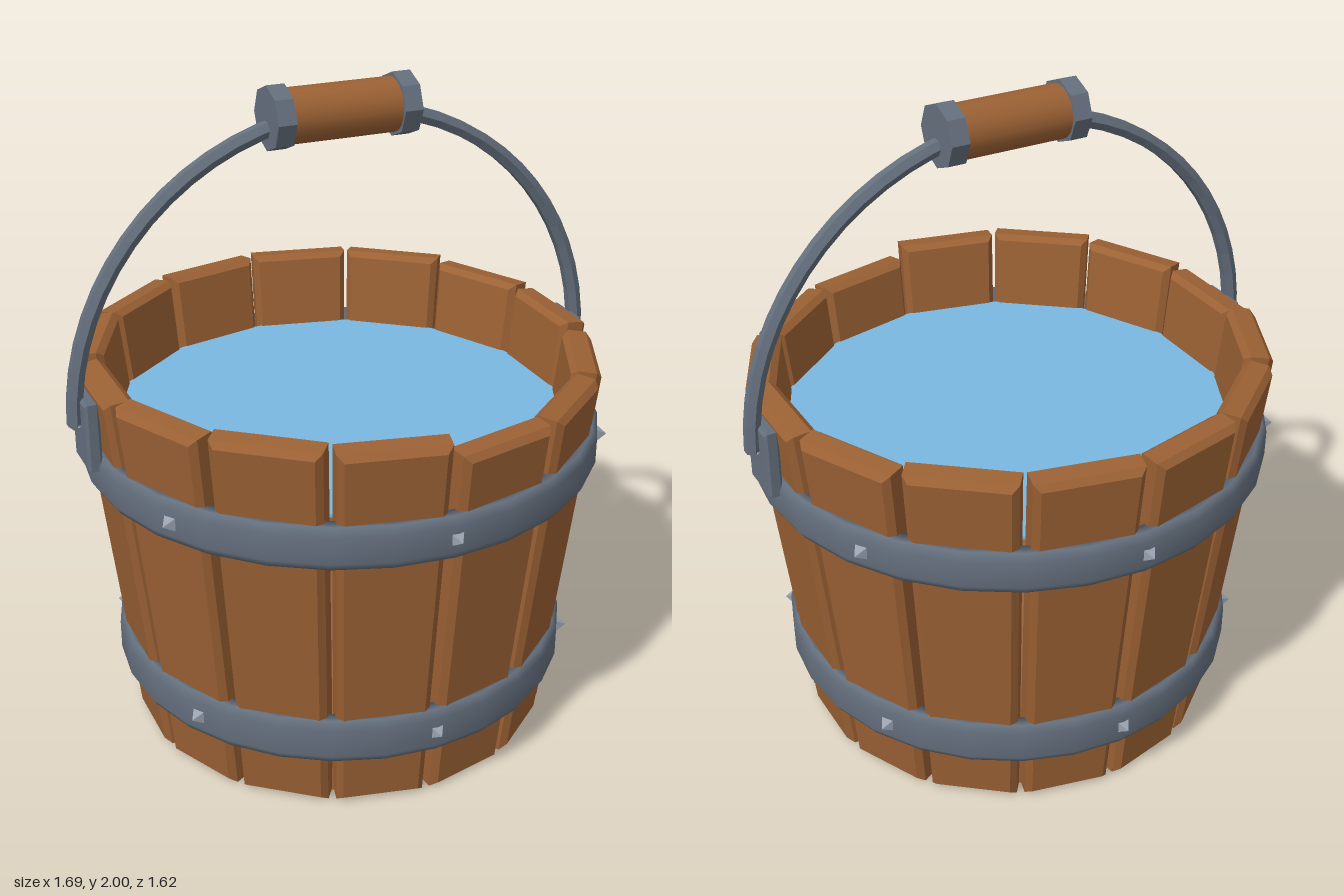
import * as THREE from 'three';

const mat = (name, color) => {
  const m = new THREE.MeshStandardMaterial({ color });
  m.name = name;
  return m;
};

// Faceted version of a geometry
const flat = (geometry) => {
  const g = geometry.index ? geometry.toNonIndexed() : geometry;
  g.computeVertexNormals();
  return g;
};

export function createModel() {
  const wood = mat('wood', 0x9b6134);
  const iron = mat('iron', 0x646f7d);
  const rivetMetal = mat('rivet metal', 0x98a2ae);
  const water = mat('water', 0x7ab8e2);

  const bucket = new THREE.Group();
  bucket.name = 'bucket';
  const add = (name, geometry, material, parent = bucket) => {
    const mesh = new THREE.Mesh(geometry, material);
    mesh.name = name;
    parent.add(mesh);
    return mesh;
  };

  // Staves: tapered, chamfered boards leaning outwards, with uneven tops
  const TILT = 0.112, THICK = 0.09, BEVEL = 0.018, BASE_R = 0.64;
  const heights = [1.2, 1.18, 1.175, 1.175, 1.22, 1.225, 1.215,
    1.205, 1.22, 1.215, 1.22, 1.225, 1.225, 1.21];
  const staves = new THREE.Group();
  staves.name = 'staves';
  bucket.add(staves);
  heights.forEach((h, i) => {
    const b = 0.13, t = 0.156;
    const shape = new THREE.Shape([
      new THREE.Vector2(-b, 0), new THREE.Vector2(b, 0),
      new THREE.Vector2(t, h), new THREE.Vector2(-t, h),
    ]);
    const g = new THREE.ExtrudeGeometry(shape, {
      depth: THICK - 2 * BEVEL, bevelThickness: BEVEL, bevelSize: BEVEL,
      bevelOffset: -BEVEL, bevelSegments: 1,
    });
    g.translate(0, 0, BEVEL - THICK).rotateX(TILT).translate(0, 0.001, BASE_R);
    add('stave', g, wood, staves).rotation.y = Math.PI / 2 - (i * Math.PI * 2) / heights.length;
  });

  // Base board and water surface
  add('base', new THREE.CylinderGeometry(0.6, 0.6, 0.118, 28), wood).position.y = 0.067;
  add('waterSurface', new THREE.CylinderGeometry(0.68, 0.68, 0.01, 28), water).position.y = 0.985;

  // Square pyramid stud pointing along +x
  const stud = flat(new THREE.ConeGeometry(0.033, 0.037, 4));
  stud.rotateY(Math.PI / 4).rotateZ(-Math.PI / 2);

  // Hoops with softened rims, each carrying six pointed rivets
  const hoops = [['upperHoop', 0.785, 0.87, 1.0], ['lowerHoop', 0.703, 0.18, 0.32]];
  for (const [name, r, y0, y1] of hoops) {
    const hoop = new THREE.Group();
    hoop.name = name;
    bucket.add(hoop);
    const inner = r - 0.05;
    const profile = [[inner, y0], [r - 0.015, y0], [r, y0 + 0.025],
      [r, y1 - 0.025], [r - 0.015, y1], [inner, y1], [inner, y0]]
      .map(([x, y]) => new THREE.Vector2(x, y));
    add('band', new THREE.LatheGeometry(profile, 28), iron, hoop);
    for (let i = 0; i < 6; i++) {
      const a = Math.PI / 6 + (i * Math.PI) / 3;
      const rivet = add('rivet', stud, rivetMetal, hoop);
      rivet.position.set(Math.cos(a) * (r + 0.007), (y0 + y1) / 2, Math.sin(a) * (r + 0.007));
      rivet.rotation.y = -a;
    }
  }

  // Handle bar: half circle of iron rod
  const R = 0.82, PIVOT = 1.087;
  class Arch extends THREE.Curve {
    getPoint(t, target = new THREE.Vector3()) {
      const a = Math.PI * t;
      return target.set(R * Math.cos(a), PIVOT + R * Math.sin(a), 0);
    }
  }
  add('handleBar', flat(new THREE.TubeGeometry(new Arch(), 32, 0.025, 6)), iron);

  // Brackets and pivot pins on both sides
  for (const s of [1, -1]) {
    const plate = new THREE.Shape([[-0.07, -0.105], [0.07, -0.105], [0.07, 0.105], [-0.07, 0.105]]
      .map(([x, y]) => new THREE.Vector2(x, y)));
    const g = new THREE.ExtrudeGeometry(plate, {
      depth: 0.027, bevelThickness: 0.008, bevelSize: 0.008, bevelOffset: -0.008, bevelSegments: 1,
    });
    g.rotateY(s * Math.PI / 2);
    add('bracket', g, iron).position.set(s * 0.772, 1.065, 0);
    const pin = add('pivotPin', new THREE.OctahedronGeometry(0.028), rivetMetal);
    pin.position.set(s * 0.815, PIVOT, 0);
  }

  // Wooden grip with octagonal iron collars
  const gripY = PIVOT + R;
  const grip = add('grip', new THREE.CylinderGeometry(0.079, 0.079, 0.36, 20), wood);
  grip.position.y = gripY;
  grip.rotation.z = Math.PI / 2;
  for (const s of [1, -1]) {
    const collar = add('gripCollar', flat(new THREE.CylinderGeometry(0.093, 0.093, 0.055, 8)), iron);
    collar.position.set(s * 0.192, gripY, 0);
    collar.rotation.z = Math.PI / 2;
  }

  return bucket;
}
